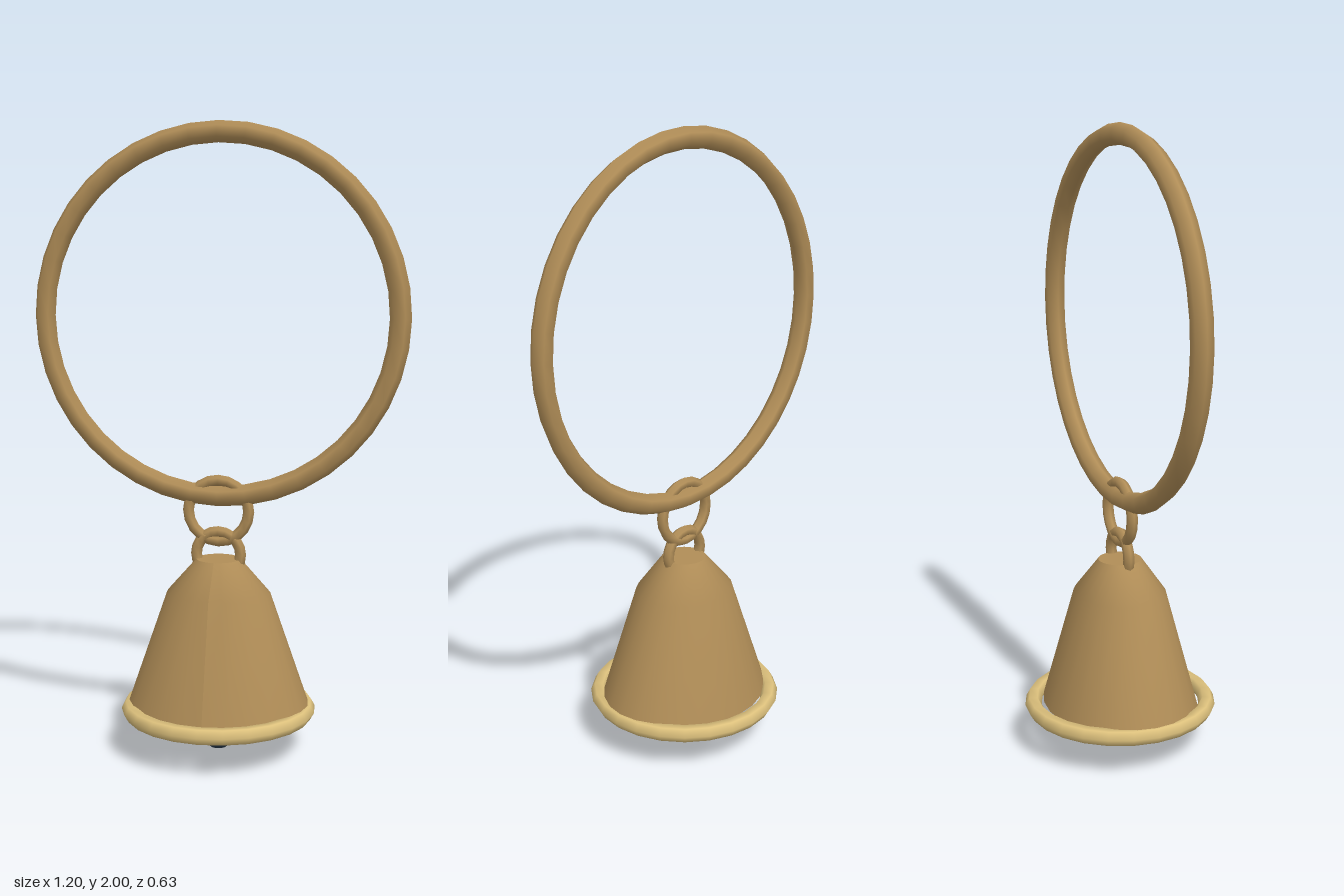
import * as THREE from 'three';

export function createModel() {
  const model = new THREE.Group();
  model.name = 'handBell';
  const bronze = new THREE.MeshStandardMaterial({ name: 'bronze', color: 0xb08d57 });
  const brass = new THREE.MeshStandardMaterial({ name: 'paleBrass', color: 0xdcc07c });
  const iron = new THREE.MeshStandardMaterial({ name: 'darkIron', color: 0x2c3e50 });

  function add(name, geometry, material, y) {
    const mesh = new THREE.Mesh(geometry, material);
    mesh.name = name;
    mesh.position.y = y;
    model.add(mesh);
    return mesh;
  }

  // Upright hexagonal-section rings: handle, connecting link, bell loop
  const rings = [
    ['handleRing', 0.567, 0.0335, 40, 1.4],
    ['connectingLink', 0.098, 0.018, 20, 0.785],
    ['bellLoop', 0.072, 0.018, 20, 0.645],
  ];
  for (const [name, radius, tube, segments, y] of rings) {
    add(name, new THREE.TorusGeometry(radius, tube, 6, segments), bronze, y);
  }

  // Bell body: round at the crown, widening to an oval mouth
  const sections = [ // y, x radius, z radius
    [0.63, 0.07, 0.07],
    [0.52, 0.167, 0.147],
    [0.14, 0.3, 0.246],
  ];
  const body = new THREE.CylinderGeometry(1, 1, 2, 24, 2);
  const p = body.attributes.position;
  for (let i = 0; i < p.count; i++) {
    const [y, rx, rz] = sections[1 - Math.round(p.getY(i))];
    p.setXYZ(i, p.getX(i) * rx, y, p.getZ(i) * rz);
  }
  body.computeVertexNormals();
  add('bellBody', body, bronze, 0);

  // Rim lying flat round the mouth
  const rim = add('bellRim', new THREE.TorusGeometry(0.286, 0.027, 6, 24), brass, 0.14);
  rim.rotation.x = -Math.PI / 2;

  // Clapper hanging below the mouth
  const clapper = add('clapper', new THREE.SphereGeometry(0.07, 12, 8), iron, 0.082);
  clapper.scale.y = 1.15;

  return model;
}
